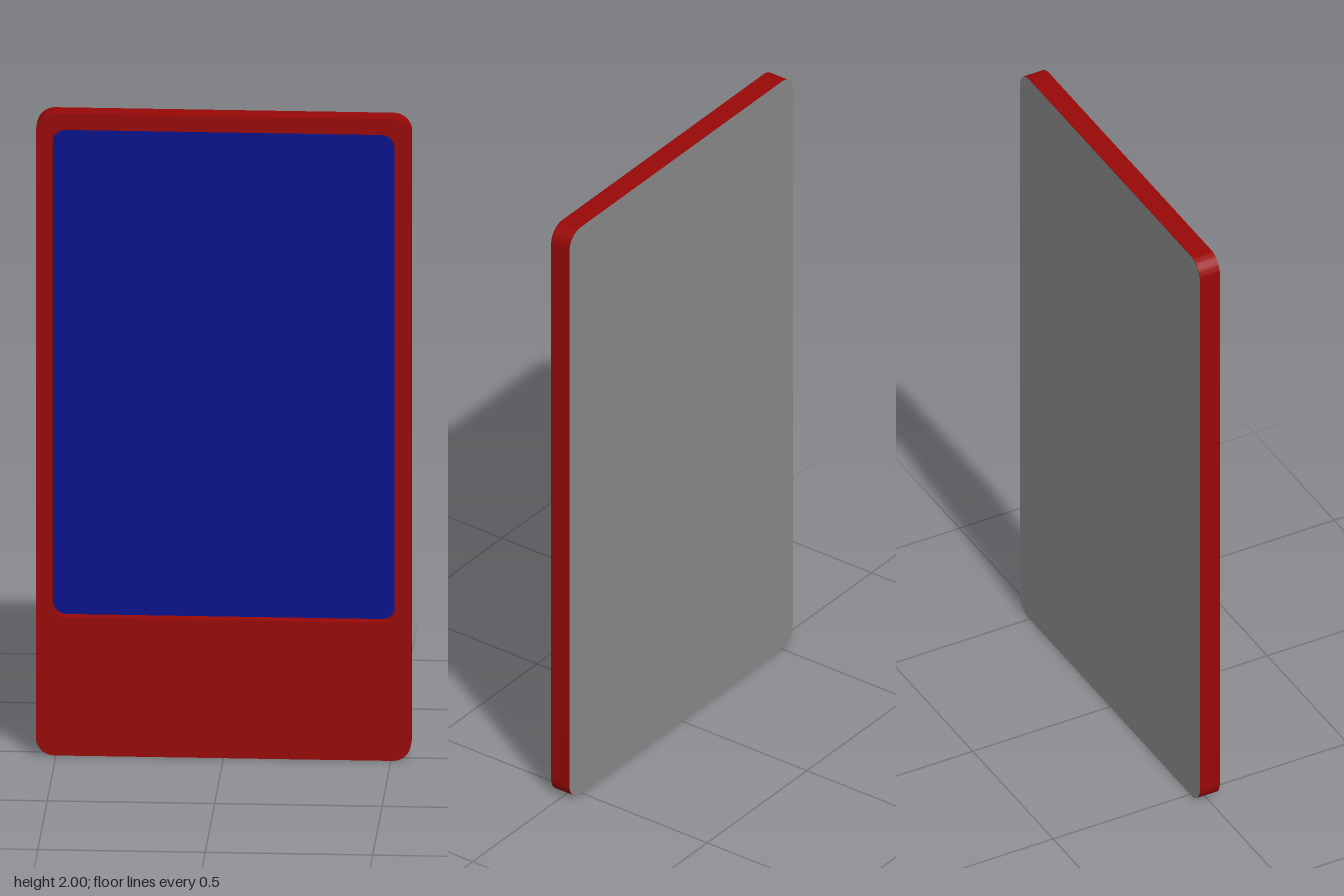
import * as THREE from 'three';
import { toCreasedNormals } from 'three/addons/utils/BufferGeometryUtils.js';

const HALF_DEPTH = 0.034;

// Rounded rectangle outline between two corners
function roundedRect(target, x0, y0, x1, y1, r) {
  target.absarc(x1 - r, y0 + r, r, -Math.PI / 2, 0);
  target.absarc(x1 - r, y1 - r, r, 0, Math.PI / 2);
  target.absarc(x0 + r, y1 - r, r, Math.PI / 2, Math.PI);
  target.absarc(x0 + r, y0 + r, r, Math.PI, Math.PI * 1.5);
  target.closePath();
  return target;
}

const bodyOutline = () => roundedRect(new THREE.Shape(), -0.56, 0, 0.56, 2, 0.055);
const windowOutline = (target) => roundedRect(target, -0.511, 0.43, 0.511, 1.95, 0.04);

export function createModel() {
  const model = new THREE.Group();
  model.name = 'framedPanel';

  const add = (name, geometry, color, z) => {
    const mesh = new THREE.Mesh(geometry, new THREE.MeshStandardMaterial({ color }));
    mesh.name = name;
    mesh.position.z = z;
    model.add(mesh);
  };

  // Frame: a slab with a window opening
  const frameShape = bodyOutline();
  frameShape.holes.push(windowOutline(new THREE.Path()));
  const frame = new THREE.ExtrudeGeometry(frameShape, {
    depth: HALF_DEPTH * 2 - 0.001, bevelEnabled: false, curveSegments: 10,
  });
  add('frame', toCreasedNormals(frame, 0.6), 0x980808, -HALF_DEPTH + 0.001);

  // Screen: recessed inside the window
  add('screen', new THREE.ShapeGeometry(windowOutline(new THREE.Shape()), 10), 0x07118a, -0.004);

  // Back cover: closes the rear, facing -z
  const back = new THREE.ShapeGeometry(bodyOutline(), 10);
  back.rotateY(Math.PI);
  add('backCover', back, 0x888888, -HALF_DEPTH);

  return model;
}
